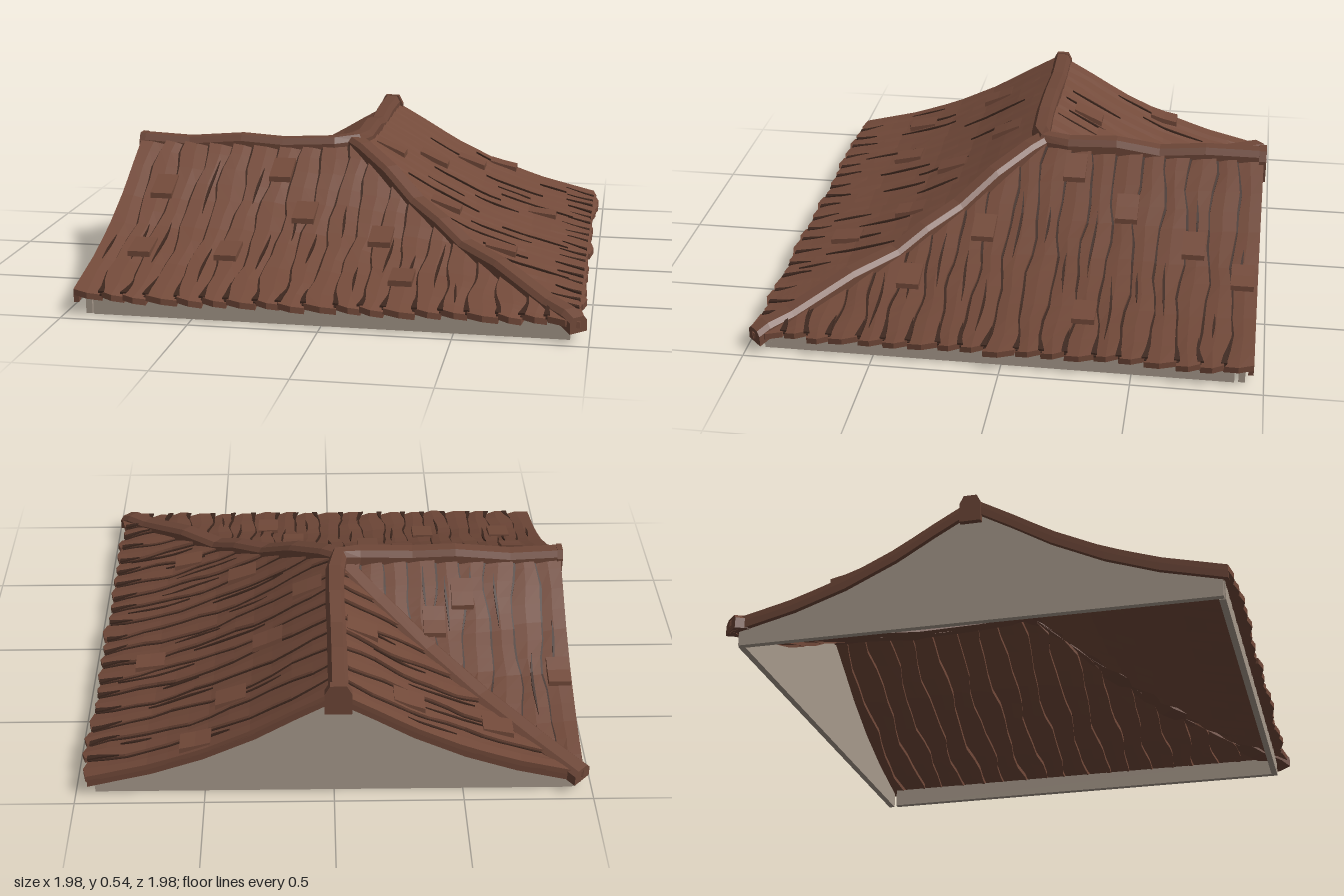
import * as THREE from 'three';

const EDGE = 0.955;
const PROFILE = [[0, 0.485], [0.15, 0.4], [0.3, 0.31], [0.5, 0.215], [0.7, 0.145], [0.95, 0.083], [1.1, 0.06]];

// Roof height at distance d from the ridge
function roofY(d) {
  for (let i = 1; i < PROFILE.length; i++) {
    const [d0, y0] = PROFILE[i - 1], [d1, y1] = PROFILE[i];
    if (d <= d1) return y0 + (y1 - y0) * (d - d0) / (d1 - d0);
  }
  return 0.06;
}

let seed = 7;
function rand() {
  seed = (seed * 16807) % 2147483647;
  return seed / 2147483647;
}

function toMesh(name, positions, material) {
  const g = new THREE.BufferGeometry();
  g.setAttribute('position', new THREE.Float32BufferAttribute(positions, 3));
  g.computeVertexNormals();
  const m = new THREE.Mesh(g, material);
  m.name = name;
  return m;
}

function quad(out, a, b, c, d, flip) {
  const order = flip ? [a, c, b, a, d, c] : [a, b, c, a, c, d];
  order.forEach(p => out.push(...p));
}

// Closed strip lying on a slope, running from d0 to d1 between edges a(d) and b(d)
function strip(out, slope, a, b, d0, d1, { la = 0, lb = 0, mid = 0, th = 0.024, bulge = 0, rows = 12, tilt = 0 }) {
  const { swap, s } = slope, flip = swap !== (s < 0);
  const T = [], B = [];
  for (let i = 0; i <= rows; i++) {
    const t = i / rows, top = [], bot = [];
    for (let j = 0; j < 3; j++) {
      const d = d0 + (d1 - d0) * t + (j === 1 && i === rows ? bulge : 0);
      let u = a(d) + (b(d) - a(d)) * j / 2;
      u = Math.max(-0.96, Math.min(u, s * d)); // trimmed at the hip or valley
      const y = roofY(d) + (la + (lb - la) * j / 2) + (j === 1 ? mid : 0) + tilt * t;
      const put = h => swap ? [s * d, h, u] : [u, h, s * d];
      top.push(put(y));
      bot.push(put(y - th));
    }
    T.push(top);
    B.push(bot);
  }
  for (let i = 0; i < rows; i++) {
    for (let j = 0; j < 2; j++) {
      quad(out, T[i][j], T[i + 1][j], T[i + 1][j + 1], T[i][j + 1], flip);
      quad(out, B[i][j], B[i][j + 1], B[i + 1][j + 1], B[i + 1][j], flip);
    }
    quad(out, T[i][0], B[i][0], B[i + 1][0], T[i + 1][0], flip);
    quad(out, T[i][2], T[i + 1][2], B[i + 1][2], B[i][2], flip);
  }
  for (let j = 0; j < 2; j++) {
    const R = rows;
    quad(out, T[R][j], B[R][j], B[R][j + 1], T[R][j + 1], flip);
    quad(out, T[0][j], T[0][j + 1], B[0][j + 1], B[0][j], flip);
  }
}

// Beam with a chamfered section swept along a path of [x, topY, z]
function beam(name, path, w, h, material) {
  const pts = path.map(p => new THREE.Vector3(...p));
  const section = [[-w, -h], [-w, -h * 0.3], [-w * 0.6, 0], [w * 0.6, 0], [w, -h * 0.3], [w, -h]];
  const rings = pts.map((p, i) => {
    const before = pts[Math.max(0, i - 1)], after = pts[Math.min(pts.length - 1, i + 1)];
    const t = after.clone().sub(before).setY(0).normalize();
    return section.map(([r, y]) => [p.x - t.z * r, p.y + y, p.z + t.x * r]);
  });
  const out = [], n = section.length;
  for (let i = 0; i < rings.length - 1; i++)
    for (let k = 0; k < n; k++) {
      const k2 = (k + 1) % n;
      quad(out, rings[i][k], rings[i][k2], rings[i + 1][k2], rings[i + 1][k], true);
    }
  const first = rings[0], last = rings[rings.length - 1];
  for (let k = 1; k < n - 1; k++) {
    out.push(...first[0], ...first[k], ...first[k + 1]);
    out.push(...last[0], ...last[k + 1], ...last[k]);
  }
  // put the winding outward
  for (let i = 0; i < out.length; i += 9)
    for (let c = 0; c < 3; c++) [out[i + 3 + c], out[i + 6 + c]] = [out[i + 6 + c], out[i + 3 + c]];
  return toMesh(name, out, material);
}

export function createModel() {
  seed = 7;
  const roof = new THREE.Group();
  roof.name = 'cornerRoof';
  const mat = (name, color) => new THREE.MeshStandardMaterial({ name, color, flatShading: true, side: THREE.DoubleSide });
  const wood = mat('brownWood', 0x734a3a);
  const trim = mat('ridgeWood', 0x6e4738);
  const dark = mat('darkGroove', 0x3d271e);
  const plaster = mat('greyPlaster', 0xa99b8d);

  // Four slopes; loose lists the centres (u, d) of raised shingles
  const slopes = [
    { name: 'front', swap: false, s: 1, loose: [[-0.79, 0.27], [-0.78, 0.63], [-0.43, 0.63], [-0.31, 0.16], [-0.17, 0.38], [0.16, 0.5], [0.28, 0.75]] },
    { name: 'side', swap: true, s: 1, loose: [[-0.9, 0.53], [-0.42, 0.26], [-0.3, 0.75], [-0.19, 0.1], [0.15, 0.38], [0.41, 0.63], [-0.7, 0.4]] },
    { name: 'innerLeft', swap: false, s: -1, loose: [[-0.91, 0.5], [-0.54, 0.18], [-0.42, 0.29]] },
    { name: 'innerBack', swap: true, s: -1, loose: [[-0.78, 0.64], [-0.8, 0.29], [-0.47, 0.12]] },
  ];
  for (const slope of slopes) {
    const outer = slope.s > 0, planks = [], grooves = [], shingles = [];
    const count = outer ? 19 : 9, step = (outer ? 1.92 : 0.96) / count;
    const border = k => d => -0.96 + k * step + (k === 0 ? 0 :
      0.01 * Math.sin(d * 12 + k * 2.1) + 0.005 * Math.sin(d * 27 + k * 1.3));
    for (let k = 0; k < count; k++) {
      const u0 = -0.96 + k * step, u1 = u0 + step;
      const start = outer ? Math.max(0, u0 - 0.015) : 0;
      const end = outer ? 0.95 + 0.02 * rand() : Math.min(EDGE, -u0 + 0.015);
      const lift = 0.006 * rand();
      strip(planks, slope, border(k), border(k + 1), start, end,
        { la: 0.014 + lift, lb: lift * 0.3, mid: 0.003, bulge: outer ? 0.014 : 0 });

      // Dark joint beside the plank
      const b = border(k + 1);
      const gEnd = outer ? 0.955 : -u1;
      const gStart = outer ? Math.max(0, u1) : 0;
      if (gEnd - gStart > 0.06)
        strip(grooves, slope, d => b(d) - 0.006 - 0.004 * Math.sin(d * 9 + k) ** 2, b, gStart, gEnd,
          { la: 0.007, lb: 0.007, th: 0.007 });

      // Short split in the plank
      const c = u0 + step * (0.35 + 0.3 * rand()), len = 0.12 + 0.2 * rand();
      const from = gStart + 0.05 + rand() * Math.max(0, gEnd - gStart - len - 0.1);
      if (gEnd - gStart > len + 0.1) {
        const half = d => 0.005 * Math.max(0, Math.sin(Math.PI * (d - from) / len));
        strip(grooves, slope, d => c + 0.006 * Math.sin(d * 15) - half(d), d => c + 0.006 * Math.sin(d * 15) + half(d),
          from, from + len, { la: 0.018, lb: 0.018, th: 0.008, rows: 6 });
      }

      // Notch at the eave
      if (outer && u1 < 0.92) {
        const tip = 0.83 + 0.04 * rand(), wedge = d => 0.014 * (d - tip) / (0.96 - tip);
        strip(grooves, slope, d => b(d) - wedge(d), d => b(d) + wedge(d) * 0.7, tip, 0.958,
          { la: 0.021, lb: 0.021, th: 0.008, rows: 3 });
      }
    }
    for (const [u, d] of slope.loose)
      strip(shingles, slope, () => u - 0.045, () => u + 0.045, d - 0.06, d + 0.06,
        { la: 0.022, lb: 0.022, th: 0.022, rows: 2, tilt: 0.016 });
    roof.add(toMesh(slope.name + 'Planks', planks, wood));
    roof.add(toMesh(slope.name + 'Grooves', grooves, dark));
    roof.add(toMesh(slope.name + 'LooseShingles', shingles, wood));
  }

  // Ridge running round the corner, hip and valley beams
  roof.add(beam('ridgeCap', [
    [-0.965, 0.515, -0.01], [-0.75, 0.505, -0.012], [-0.52, 0.525, -0.01], [-0.34, 0.515, -0.005],
    [-0.12, 0.525, -0.015], [-0.035, 0.535, -0.045], [-0.015, 0.53, -0.15], [-0.012, 0.54, -0.35],
    [-0.015, 0.512, -0.53], [-0.015, 0.53, -0.72], [-0.015, 0.53, -0.965]], 0.038, 0.085, trim));
  roof.add(beam('ridgeEndBack', [[-0.015, 0.532, -0.94], [-0.015, 0.532, -0.97]], 0.052, 0.13, trim));
  roof.add(beam('ridgeEndLeft', [[-0.968, 0.517, -0.01], [-0.945, 0.517, -0.01]], 0.042, 0.11, trim));
  roof.add(beam('hipBeam', [
    [-0.03, 0.525, -0.03], [0.02, 0.51, 0.02], [0.15, 0.445, 0.15], [0.28, 0.35, 0.28], [0.4, 0.3, 0.4],
    [0.5, 0.24, 0.5], [0.65, 0.212, 0.65], [0.85, 0.135, 0.85], [0.925, 0.12, 0.925], [0.96, 0.1, 0.96]], 0.042, 0.06, trim));
  const valley = [0.05, 0.2, 0.4, 0.6, 0.8, 0.955].map(d => [-d, roofY(d) + 0.032, -d]);
  roof.add(beam('valleyBeam', valley, 0.045, 0.06, trim));

  // Edge boards and plaster walls under the two gable ends
  const ds = [-0.95, -0.7, -0.5, -0.3, -0.15, 0, 0.15, 0.3, 0.5, 0.7, 0.95];
  const shape = new THREE.Shape();
  shape.moveTo(-0.925, 0);
  ds.forEach(d => shape.lineTo(d * 0.975, roofY(Math.abs(d)) - 0.018));
  shape.lineTo(0.925, 0);
  const gableGeo = new THREE.ExtrudeGeometry(shape, { depth: 0.025, bevelEnabled: false });
  for (const swap of [false, true]) {
    const path = ds.map(d => swap ? [-0.95, roofY(Math.abs(d)) + 0.012, d] : [d, roofY(Math.abs(d)) + 0.012, -0.95]);
    roof.add(beam(swap ? 'leftEdgeBoard' : 'backEdgeBoard', path, 0.01, 0.045, trim));
    const gable = new THREE.Mesh(gableGeo, plaster);
    gable.name = swap ? 'leftGable' : 'backGable';
    if (swap) {
      gable.rotation.y = Math.PI / 2 + 0.01;
      gable.position.x = -0.93;
    } else gable.position.z = -0.93;
    roof.add(gable);

    // Low wall under the eave
    const wall = new THREE.Mesh(new THREE.BoxGeometry(swap ? 0.025 : 1.82, 0.075, swap ? 1.82 : 0.025), plaster);
    wall.name = swap ? 'sideWall' : 'frontWall';
    wall.position.set(swap ? 0.917 : 0.02, 0.0375, swap ? 0.02 : 0.917);
    roof.add(wall);
  }
  return roof;
}
